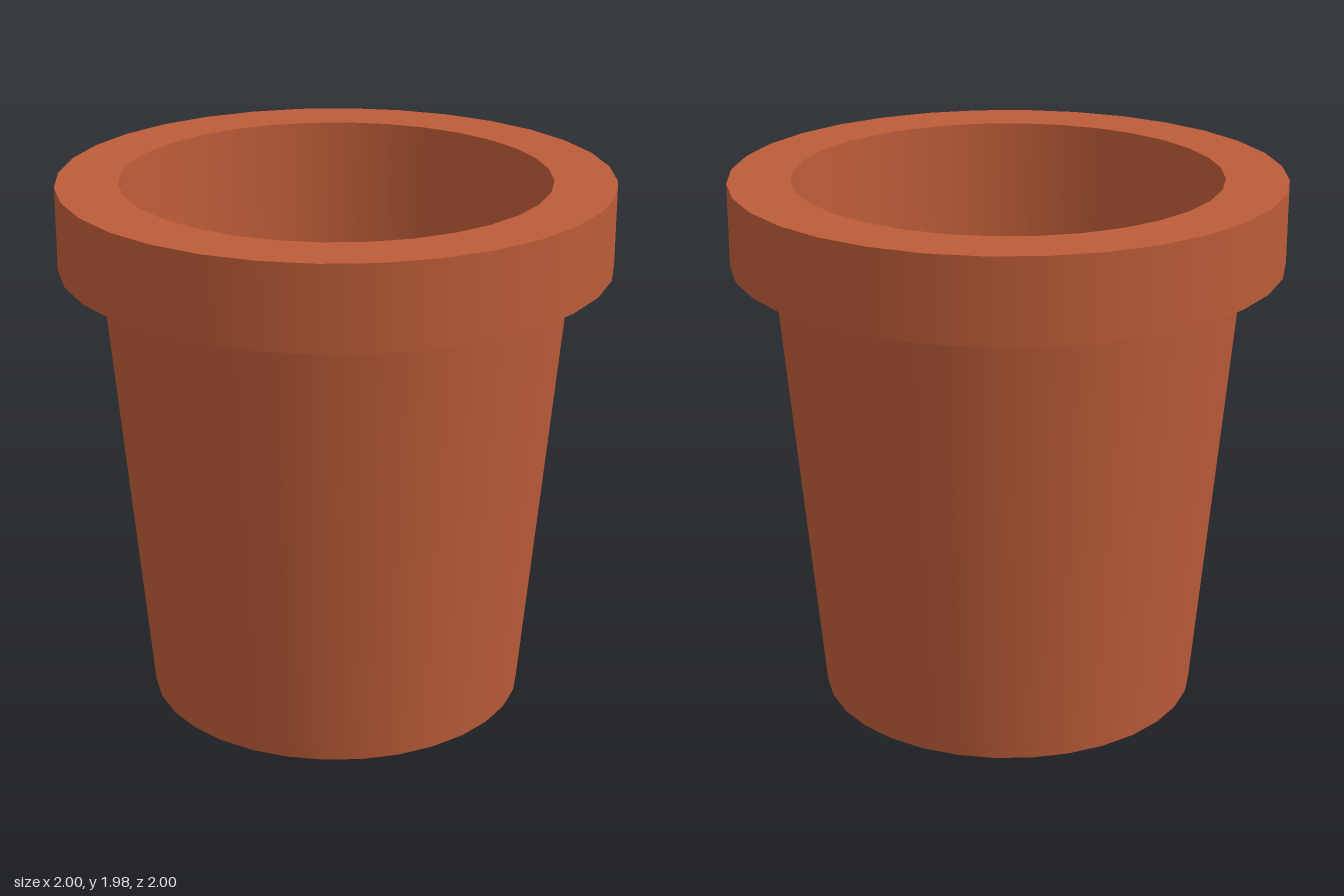
import * as THREE from 'three';

const SIDES = 32;

export function createModel() {
  const pot = new THREE.Group();
  pot.name = 'flowerPot';
  const terracotta = new THREE.MeshStandardMaterial({ color: 0xbc5c38 });
  terracotta.name = 'terracotta';

  // Each band is its own lathe, so it is smooth around and sharp at its rims
  const band = (name, r0, y0, r1, y1) => {
    const points = [new THREE.Vector2(r0, y0), new THREE.Vector2(r1, y1)];
    const mesh = new THREE.Mesh(new THREE.LatheGeometry(points, SIDES), terracotta);
    mesh.name = name;
    pot.add(mesh);
  };

  // Outside, from the base up
  band('base', 0, 0, 0.7, 0);
  band('outerWall', 0.7, 0, 0.85, 1.67);
  band('rimUnderside', 0.85, 1.67, 1, 1.67);
  band('rimSide', 1, 1.67, 1, 1.975);
  band('rimTop', 1, 1.975, 0.775, 1.975);

  // Inside, from the rim down
  band('innerWall', 0.775, 1.975, 0.7, 0.02);
  band('innerFloor', 0.7, 0.02, 0, 0.02);

  return pot;
}
